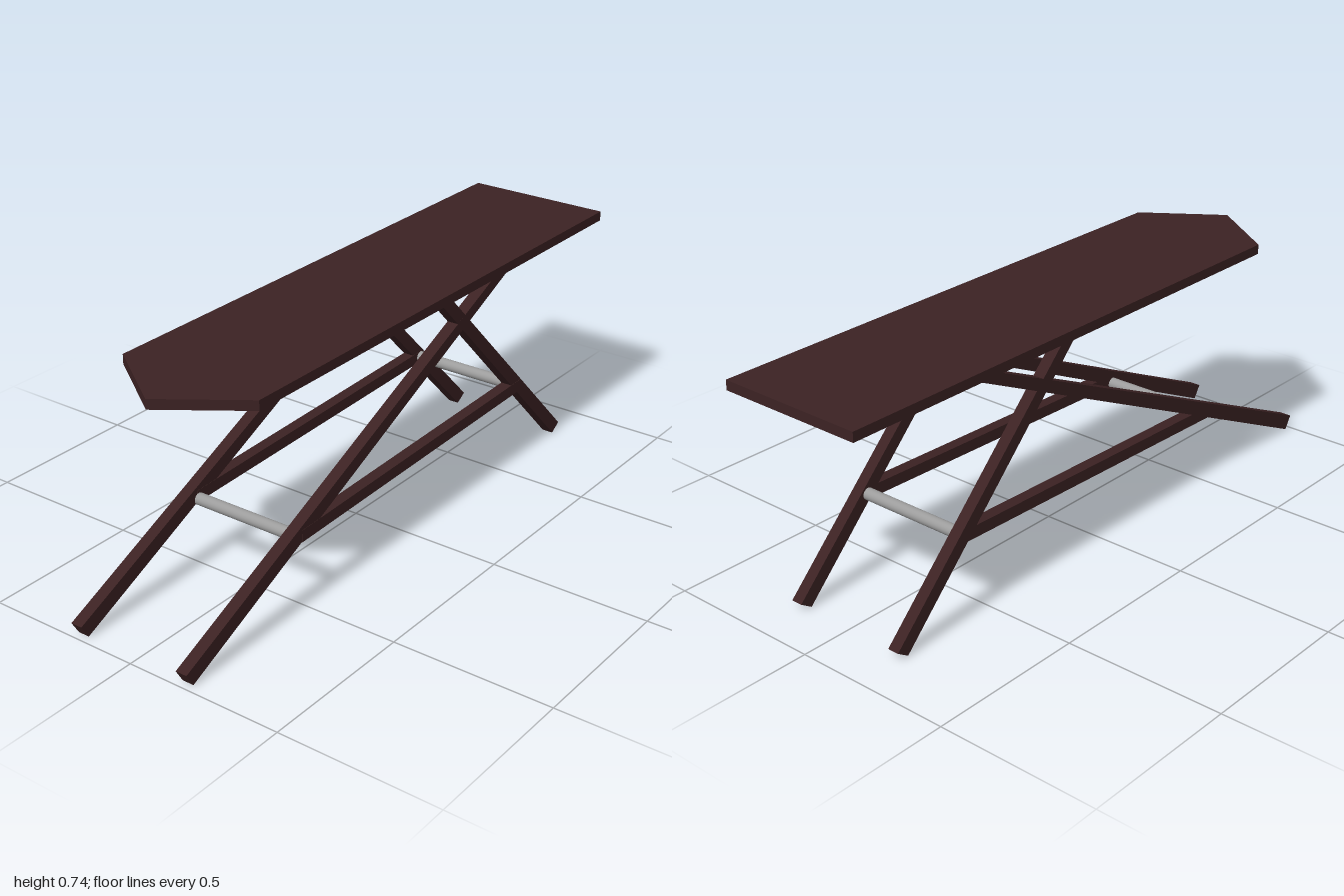
import * as THREE from 'three';

export function createModel() {
  const group = new THREE.Group();
  const wood = new THREE.MeshStandardMaterial({ color: 0x3c2223 });
  wood.name = 'dark wood';
  const metal = new THREE.MeshStandardMaterial({ color: 0x9c9c9c });
  metal.name = 'grey metal';

  const add = (name, geometry, material) => {
    const mesh = new THREE.Mesh(geometry, material);
    mesh.name = name;
    group.add(mesh);
    return mesh;
  };
  const extrude = (points, depth) => new THREE.ExtrudeGeometry(
    new THREE.Shape(points.map(([a, b]) => new THREE.Vector2(a, b))),
    { depth, bevelEnabled: false });

  // Flat bar from a [z, y] side outline, centred on x
  const bar = (name, outline, x, width) => {
    const geometry = extrude(outline, width);
    geometry.translate(0, 0, -width / 2);
    geometry.rotateY(-Math.PI / 2);
    add(name, geometry, wood).position.x = x;
  };

  // Board with a pointed front end
  const board = extrude([[-0.234, 1], [-0.234, -0.72], [0, -0.885], [0.234, -0.72], [0.234, 1]], 0.03);
  board.rotateX(-Math.PI / 2);
  add('board', board, wood).position.y = 0.705;

  // Crossing legs and the stretcher joining them, on each side
  for (const [side, x] of [['right', -0.195], ['left', 0.182]]) {
    bar(side + 'LongLeg', [[0.975, 0.002], [1, 0.044], [-0.47, 0.707], [-0.525, 0.707], [-0.525, 0.695]], x, 0.037);
    bar(side + 'ShortLeg', [[-0.825, 0], [-0.14, 0.695], [-0.18, 0.709], [-0.862, 0.024]], x, 0.0366);
    bar(side + 'Stretcher', [[0.515, 0.213], [0.515, 0.25], [-0.6, 0.281], [-0.6, 0.244]], x + 0.0008, 0.0372);
  }

  // Round cross rods
  for (const [name, y, z] of [['frontRod', 0.222, 0.51], ['rearRod', 0.262, -0.59]]) {
    const rod = add(name, new THREE.CylinderGeometry(0.0185, 0.0185, 0.366, 32), metal);
    rod.rotation.z = Math.PI / 2;
    rod.position.set(-0.0065, y, z);
  }
  return group;
}
